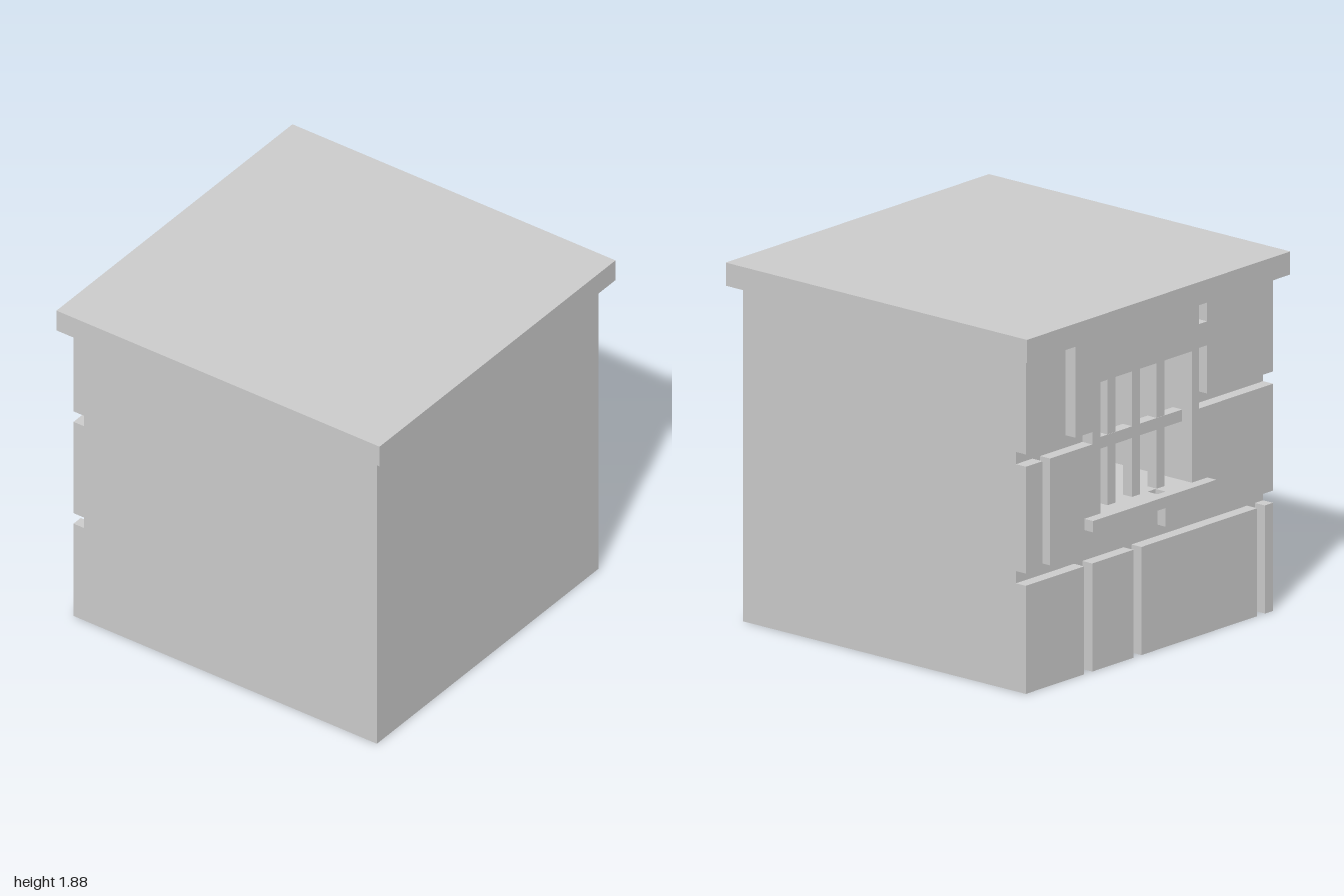
import * as THREE from 'three';

const W = 0.939;        // half width of the body
const H = 1.757;        // body height
const GROOVE = 0.066;   // depth of the joints between stones
const RECESS = 0.56;    // depth of the window niche

// Stone wall: a stepped relief made of cells, each sunk by the deepest rectangle covering it.
// Each rectangle is [x0, x1, y0, y1, depth].
function reliefGeometry(rects) {
  const sorted = (list) => [...new Set(list)].sort((a, b) => a - b);
  const xs = sorted([-W, W, ...rects.flatMap((r) => [r[0], r[1]])]);
  const ys = sorted([0, H, ...rects.flatMap((r) => [r[2], r[3]])]);
  const depthAt = (i, j) => {
    if (i < 0 || i >= xs.length - 1) return GROOVE;
    const x = (xs[i] + xs[i + 1]) / 2, y = (ys[j] + ys[j + 1]) / 2;
    return rects.reduce((d, r) =>
      (x > r[0] && x < r[1] && y > r[2] && y < r[3] ? Math.max(d, r[4]) : d), 0);
  };
  const pos = [];
  const quad = (a, b, c, d) => pos.push(...a, ...b, ...c, ...a, ...c, ...d);

  for (let j = 0; j < ys.length - 1; j++) {
    const y0 = ys[j], y1 = ys[j + 1];
    for (let i = -1; i < xs.length - 1; i++) {
      const d = depthAt(i, j), z = -W + d;
      // face of the cell
      if (i >= 0) {
        const x0 = xs[i], x1 = xs[i + 1];
        quad([x1, y0, z], [x0, y0, z], [x0, y1, z], [x1, y1, z]);
        // step to the cell above
        if (j < ys.length - 2) {
          const zu = -W + depthAt(i, j + 1);
          if (zu > z) quad([x0, y1, z], [x0, y1, zu], [x1, y1, zu], [x1, y1, z]);
          if (zu < z) quad([x0, y1, zu], [x1, y1, zu], [x1, y1, z], [x0, y1, z]);
        }
      }
      // step to the next cell along x
      const xr = xs[i + 1], zr = -W + depthAt(i + 1, j);
      if (zr > z) quad([xr, y0, z], [xr, y1, z], [xr, y1, zr], [xr, y0, zr]);
      if (zr < z) quad([xr, y0, z], [xr, y1, z], [xr, y1, zr], [xr, y0, zr]);
    }
  }
  const geo = new THREE.BufferGeometry();
  geo.setAttribute('position', new THREE.Float32BufferAttribute(pos, 3));
  geo.computeVertexNormals();
  return geo;
}

export function createModel() {
  const model = new THREE.Group();
  model.name = 'stoneBlockHouse';
  const stone = new THREE.MeshStandardMaterial({ color: 0xcccccc });
  stone.name = 'stone grey';
  const shell = new THREE.MeshStandardMaterial({ color: 0xcccccc, side: THREE.DoubleSide });
  shell.name = 'stone grey shell';

  const add = (name, geo, mat, x, y, z) => {
    const mesh = new THREE.Mesh(geo, mat);
    mesh.name = name;
    mesh.position.set(x, y, z);
    model.add(mesh);
    return mesh;
  };
  // box from its two extreme corners
  const block = (name, x0, x1, y0, y1, z0, z1) =>
    add(name, new THREE.BoxGeometry(x1 - x0, y1 - y0, z1 - z0), stone,
      (x0 + x1) / 2, (y0 + y1) / 2, (z0 + z1) / 2);

  // flat roof slab
  block('roofSlab', -1, 1, H, 1.878, -1, 1);

  // plain thin walls, open underneath
  add('frontWall', new THREE.PlaneGeometry(2 * W, H), shell, 0, H / 2, W);
  for (const s of [-1, 1]) {
    const wall = add(s > 0 ? 'leftWall' : 'rightWall',
      new THREE.PlaneGeometry(2 * W - GROOVE, H), shell, s * W, H / 2, GROOVE / 2);
    wall.rotation.y = s * Math.PI / 2;
  }

  // back wall with stone joints and window niche
  const G = GROOVE;
  const win = { x0: -0.322, x1: 0.373, y0: 0.813, y1: 1.5 };
  add('stoneBackWall', reliefGeometry([
    [-W, W, 0.565, 0.629, G],             // long lower joint
    [0.434, 0.497, 0, 0.565, G],          // lower course joints
    [0.061, 0.122, 0, 0.565, G],
    [-0.878, -0.818, 0, 0.565, G],
    [0.754, 0.812, 0.629, 1.188, G],      // middle course joints
    [-0.122, -0.061, 0.629, 0.813, G],
    [0.434, W, 1.188, 1.252, G],          // upper left joints
    [0.561, 0.689, 1.252, H, G],
    [-W, -0.377, 1.188, 1.252, G],        // upper right joints
    [-0.439, -0.377, 1.252, 1.505, G],
    [-0.439, -0.377, 1.63, H, G],
    [win.x0, win.x1, win.y0, win.y1, RECESS],
  ]), shell, 0, 0, 0);

  // window sill
  block('windowSill', -0.44, 0.495, 0.754, 0.813, -0.998, -W);

  // window bars
  const zFront = -0.874, zBack = -0.814;
  for (const x of [-0.16, 0.027, 0.214]) {
    block('verticalBar', x - 0.03, x + 0.03, win.y0, win.y1, zFront, zBack);
  }
  block('crossBar', win.x0, win.x1, 1.122, 1.183, zFront - 0.001, zBack + 0.001);

  return model;
}
